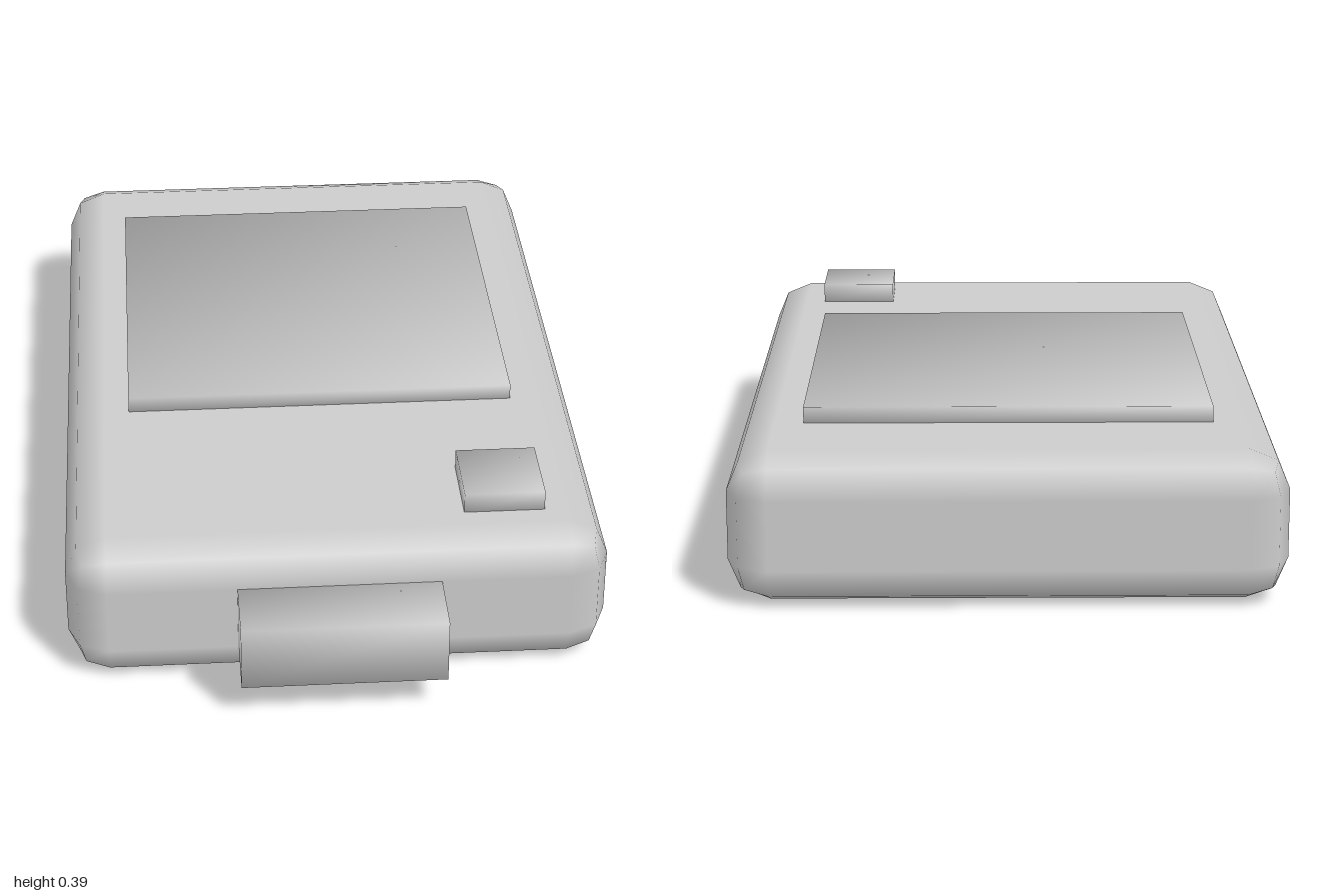
import * as THREE from 'three';
import { RoundedBoxGeometry } from 'three/addons/geometries/RoundedBoxGeometry.js';

const grey = new THREE.MeshStandardMaterial({ color: 0xcccccc });
grey.name = 'light grey';

// Box between two corners, with normals blended softly across its edges
function softBox(name, min, max) {
  const size = max.map((v, i) => v - min[i]);
  const geometry = new THREE.BoxGeometry(...size);
  const p = geometry.attributes.position;
  const n = new THREE.Vector3();
  for (let i = 0; i < p.count; i++) {
    n.set(Math.sign(p.getX(i)), Math.sign(p.getY(i)), Math.sign(p.getZ(i))).normalize();
    geometry.attributes.normal.setXYZ(i, n.x, n.y, n.z);
  }
  const mesh = new THREE.Mesh(geometry, grey);
  mesh.name = name;
  mesh.position.set(...max.map((v, i) => (v + min[i]) / 2));
  return mesh;
}

export function createModel() {
  const model = new THREE.Group();
  model.name = 'handheldDevice';

  // Bevelled case
  const body = new THREE.Mesh(new RoundedBoxGeometry(1.226, 0.34, 1.844, 1, 0.092), grey);
  body.name = 'body';
  body.position.set(0, 0.17, -0.078);
  model.add(body);

  // Raised screen and button on the top, plug at the front
  model.add(
    softBox('screen', [-0.462, 0.335, -0.695], [0.456, 0.377, 0.228]),
    softBox('button', [0.29, 0.335, 0.522], [0.473, 0.387, 0.707]),
    softBox('plug', [-0.23, 0.095, 0.84], [0.228, 0.249, 1])
  );
  return model;
}
